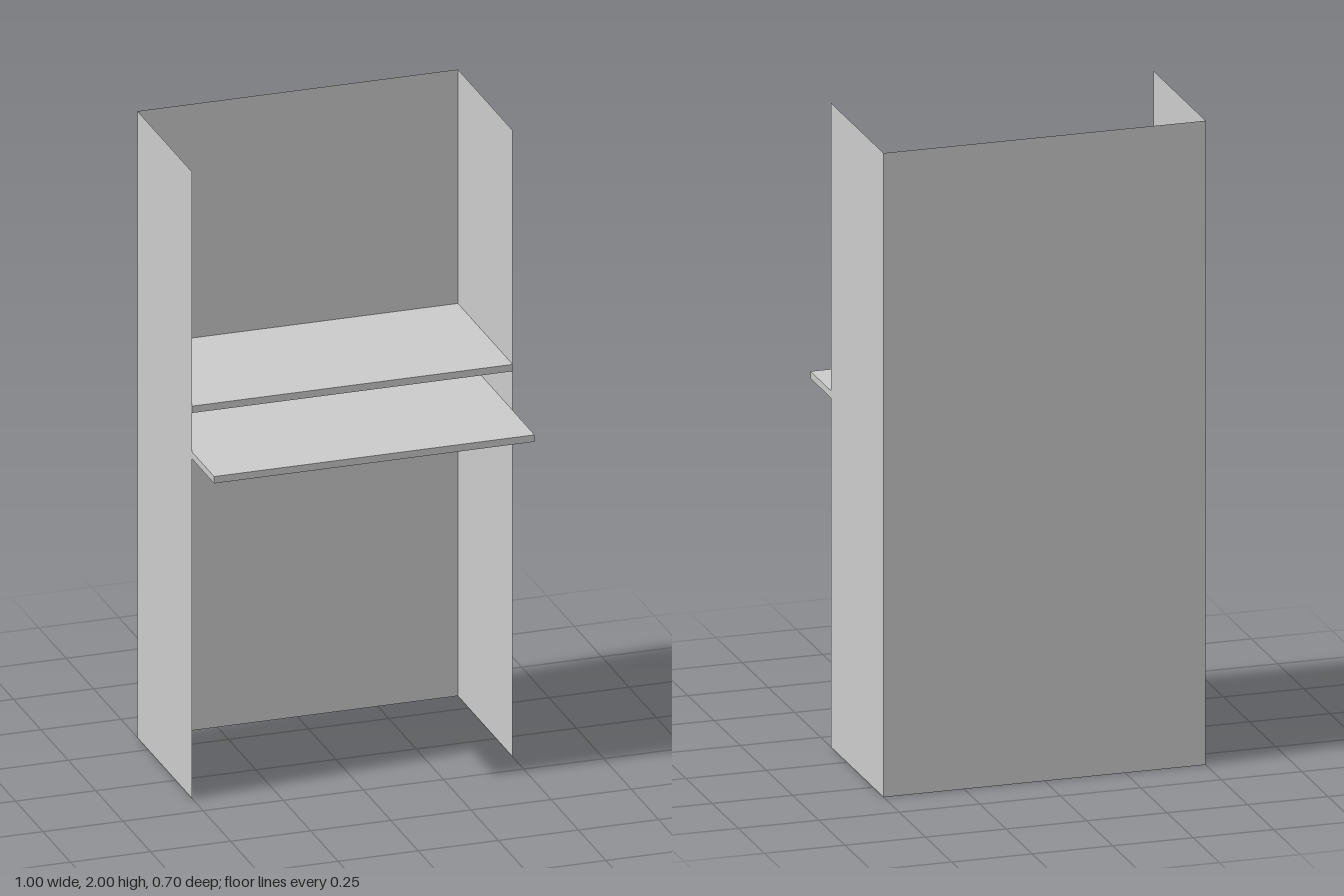
import * as THREE from 'three';

const WIDTH = 1, HEIGHT = 2, DEPTH = 0.5, BACK_Z = -0.35;
const SHELF_THICKNESS = 0.022;

export function createModel() {
  const group = new THREE.Group();
  const material = new THREE.MeshStandardMaterial({ color: 0xcccccc });
  const sheetMaterial = new THREE.MeshStandardMaterial({ color: 0xcccccc, side: THREE.DoubleSide });

  const add = (name, geometry, mat, x, y, z) => {
    const mesh = new THREE.Mesh(geometry, mat);
    mesh.name = name;
    mesh.position.set(x, y, z);
    group.add(mesh);
    return mesh;
  };

  // Thin sheet panels: back and two sides
  add('backPanel', new THREE.PlaneGeometry(WIDTH, HEIGHT), sheetMaterial, 0, HEIGHT / 2, BACK_Z);
  for (const [name, side] of [['leftPanel', 1], ['rightPanel', -1]]) {
    const panel = add(name, new THREE.PlaneGeometry(DEPTH, HEIGHT), sheetMaterial,
      side * WIDTH / 2, HEIGHT / 2, BACK_Z + DEPTH / 2);
    panel.rotation.y = side * Math.PI / 2;
  }

  // Fixed upper shelf, and the lower worktop slid forward past the side panels
  for (const [name, y, z] of [['upperShelf', 1.242, BACK_Z + DEPTH / 2], ['slidingWorktop', 1.095, 0.1]]) {
    add(name, new THREE.BoxGeometry(WIDTH, SHELF_THICKNESS, DEPTH), material, 0, y, z);
  }

  return group;
}
